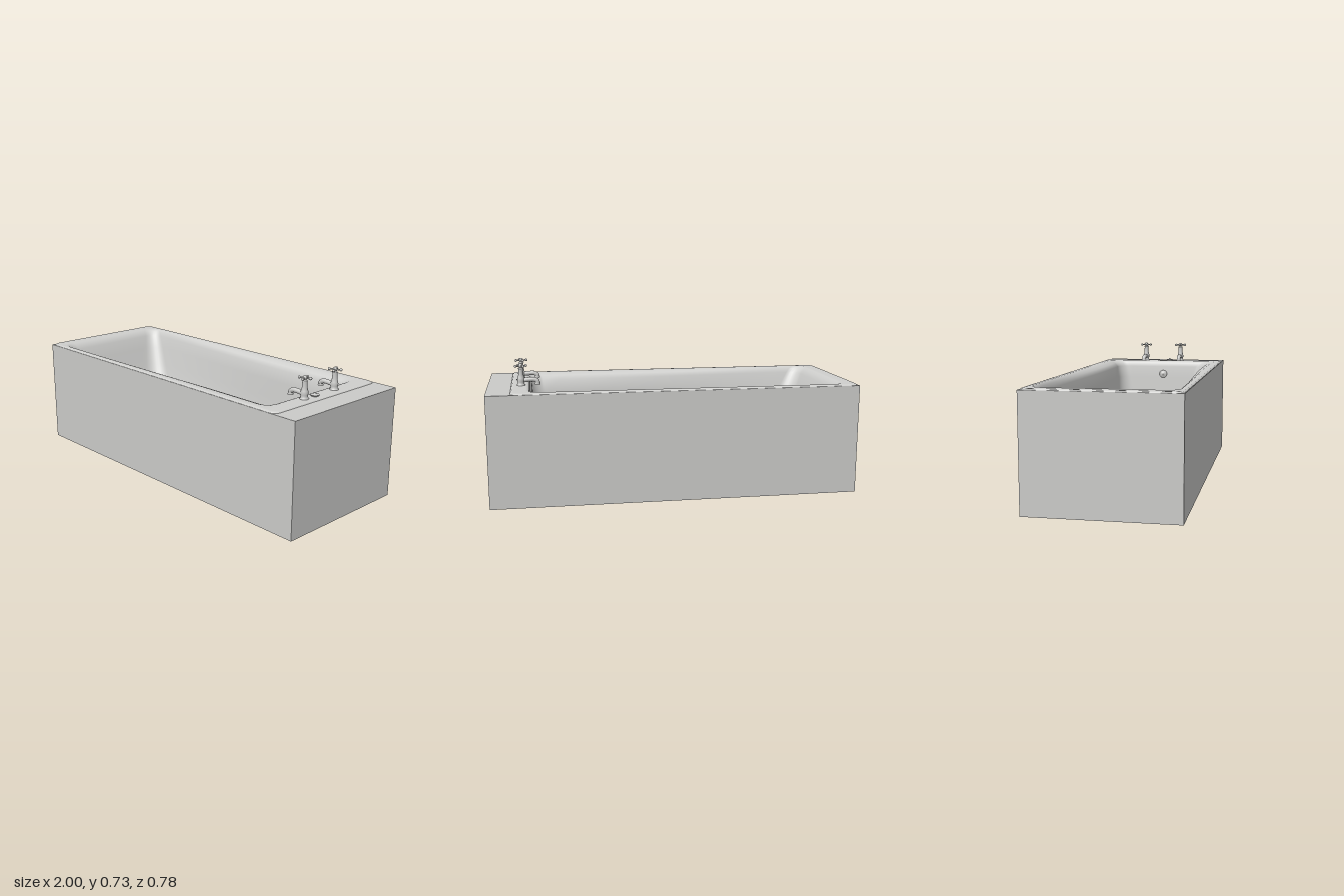
import * as THREE from 'three';

const panelGrey = new THREE.MeshStandardMaterial({ color: 0xcbcbc9 });
const bathWhite = new THREE.MeshStandardMaterial({ color: 0xcfcfcd });
const metalGrey = new THREE.MeshStandardMaterial({ color: 0xcbcbc9 });
panelGrey.name = 'panel grey';
bathWhite.name = 'bath white';
metalGrey.name = 'metal grey';

function add(parent, name, geometry, material, x = 0, y = 0, z = 0) {
  const mesh = new THREE.Mesh(geometry, material);
  mesh.name = name;
  mesh.position.set(x, y, z);
  parent.add(mesh);
  return mesh;
}

const lathe = (points, segments = 24) =>
  new THREE.LatheGeometry(points.map(([r, y]) => new THREE.Vector2(r, y)), segments);

// One rounded-rectangle ring whose half width eases from the head end to the foot end
function ring([x0, x1, headHalf, footHalf, radius, y]) {
  const cornerSteps = 8, sideSteps = 16, points = [];
  const unit = Math.max(headHalf, footHalf);
  const corners = [[x1, unit, 1, 1], [x0, unit, -1, 1], [x0, -unit, -1, -1], [x1, -unit, 1, -1]];
  const cornerPoint = (k, i) => {
    const [cx, cz, sx, sz] = corners[k % 4];
    const a = ((k % 4) + i / cornerSteps) * Math.PI / 2;
    return [cx - sx * radius + radius * Math.cos(a), cz - sz * radius + radius * Math.sin(a)];
  };
  for (let k = 0; k < 4; k++) {
    for (let i = 0; i < cornerSteps; i++) points.push(cornerPoint(k, i));
    const a = cornerPoint(k, cornerSteps), b = cornerPoint(k + 1, 0);
    for (let i = 0; i < sideSteps; i++) {
      const t = i / sideSteps;
      points.push([a[0] + (b[0] - a[0]) * t, a[1] + (b[1] - a[1]) * t]);
    }
  }
  return points.map(([x, z]) => {
    const half = THREE.MathUtils.lerp(headHalf, footHalf, THREE.MathUtils.smoothstep(x, -0.85, 0.45));
    return [x, y, z * half / unit];
  });
}

// Rim, sloping walls and floor as one smooth skin
function bathGeometry() {
  const rings = [
    [-0.997, 0.875, 0.387, 0.387, 0.04, 0.598],
    [-0.996, 0.874, 0.386, 0.386, 0.04, 0.602],
    [-0.990, 0.868, 0.380, 0.380, 0.04, 0.606],
    [-0.980, 0.858, 0.372, 0.372, 0.04, 0.607],
    [-0.935, 0.795, 0.358, 0.352, 0.07, 0.607],
    [-0.922, 0.780, 0.352, 0.335, 0.07, 0.604],
    [-0.905, 0.772, 0.345, 0.305, 0.07, 0.593],
    [-0.885, 0.766, 0.335, 0.285, 0.07, 0.570],
    [-0.855, 0.762, 0.320, 0.278, 0.08, 0.500],
    [-0.815, 0.757, 0.300, 0.273, 0.09, 0.400],
    [-0.770, 0.752, 0.277, 0.266, 0.10, 0.300],
    [-0.730, 0.742, 0.255, 0.255, 0.11, 0.230],
    [-0.690, 0.727, 0.235, 0.238, 0.11, 0.193],
    [-0.630, 0.705, 0.205, 0.213, 0.10, 0.172],
    [-0.550, 0.670, 0.160, 0.170, 0.08, 0.164],
    [-0.300, 0.450, 0.060, 0.070, 0.03, 0.161],
  ].map(ring);
  const n = rings[0].length, index = [];
  for (let j = 0; j < rings.length - 1; j++) {
    for (let i = 0; i < n; i++) {
      const k = (i + 1) % n, a = j * n, b = a + n;
      index.push(a + i, b + i, a + k, a + k, b + i, b + k);
    }
  }
  const last = (rings.length - 1) * n, centre = rings.length * n;
  for (let i = 0; i < n; i++) index.push(last + i, centre, last + (i + 1) % n);
  const g = new THREE.BufferGeometry();
  g.setAttribute('position', new THREE.Float32BufferAttribute([...rings.flat(2), 0.08, 0.16, 0], 3));
  g.setIndex(index);
  g.computeVertexNormals();
  return g;
}

// Pillar tap with a spout over the basin and a cross handle
function tap(name, z, turn) {
  const group = new THREE.Group();
  group.name = name;
  group.position.set(0.82, 0.606, z);
  add(group, 'tapBody', lathe([
    [0.023, 0], [0.023, 0.004], [0.017, 0.009], [0.018, 0.02], [0.02, 0.03], [0.018, 0.042],
    [0.015, 0.05], [0.016, 0.053], [0.014, 0.056], [0.012, 0.088], [0.015, 0.09], [0.013, 0.094],
    [0.006, 0.096], [0.006, 0.1], [0, 0.1],
  ]), metalGrey);
  const path = new THREE.CatmullRomCurve3([
    [0, 0.027], [-0.04, 0.031], [-0.07, 0.031], [-0.086, 0.022], [-0.088, 0.006],
  ].map(([x, y]) => new THREE.Vector3(x, y, 0)));
  add(group, 'spout', new THREE.TubeGeometry(path, 20, 0.0125, 14), metalGrey);
  add(group, 'spoutNozzle', new THREE.CylinderGeometry(0.0135, 0.0145, 0.01, 16), metalGrey, -0.088, 0.009);

  const handle = new THREE.Group();
  handle.name = 'crossHandle';
  handle.position.y = 0.106;
  handle.rotation.y = turn;
  group.add(handle);
  add(handle, 'handleHub', lathe([
    [0, -0.009], [0.01, -0.007], [0.011, 0], [0.01, 0.007], [0.007, 0.011], [0, 0.013],
  ]), metalGrey);
  for (let i = 0; i < 4; i++) {
    const a = i * Math.PI / 2;
    const arm = add(handle, 'handleArm', new THREE.CylinderGeometry(0.0045, 0.0035, 0.024, 10), metalGrey,
      Math.cos(a) * 0.017, 0, Math.sin(a) * 0.017);
    arm.rotation.set(0, -a, -Math.PI / 2);
    add(handle, 'handleBall', new THREE.SphereGeometry(0.0075, 12, 8), metalGrey,
      Math.cos(a) * 0.03, 0, Math.sin(a) * 0.03);
  }
  return group;
}

export function createModel() {
  const model = new THREE.Group();
  model.name = 'bath';

  // Surround box without its top face
  const box = new THREE.BoxGeometry(2, 0.6, 0.778);
  const faces = Array.from(box.index.array);
  faces.splice(12, 6);
  box.setIndex(faces);
  box.clearGroups();
  add(model, 'surroundPanels', box, panelGrey, 0, 0.3, 0);

  // Top ledge, cut out for the basin
  const top = new THREE.Shape();
  top.moveTo(-1, -0.389).lineTo(1, -0.389).lineTo(1, 0.389).lineTo(-1, 0.389).closePath();
  const hole = new THREE.Path();
  hole.moveTo(-0.95, -0.365).lineTo(-0.95, 0.365).lineTo(0.82, 0.365).lineTo(0.82, -0.365).closePath();
  top.holes.push(hole);
  add(model, 'surroundTop', new THREE.ShapeGeometry(top).rotateX(-Math.PI / 2), panelGrey, 0, 0.6, 0);

  add(model, 'bathTub', bathGeometry(), bathWhite);

  // Taps and waste fittings
  model.add(tap('leftTap', 0.117, 0.3), tap('rightTap', -0.114, 0.45));
  add(model, 'wasteControl', lathe([
    [0.018, 0], [0.018, 0.004], [0.023, 0.006], [0.023, 0.009], [0.012, 0.01], [0.006, 0.011],
    [0.006, 0.015], [0, 0.018],
  ]), metalGrey, 0.825, 0.606, 0.043);
  add(model, 'drain', lathe([
    [0.025, 0], [0.025, 0.004], [0.02, 0.006], [0.016, 0.003], [0, 0.003],
  ]), metalGrey, 0.627, 0.164, -0.006);
  const overflow = add(model, 'overflow', lathe([
    [0.025, 0], [0.025, 0.008], [0.02, 0.012], [0.009, 0.013], [0.007, 0.018], [0, 0.02],
  ]), metalGrey, 0.766, 0.52, 0.01);
  overflow.rotation.z = Math.PI / 2;

  return model;
}
